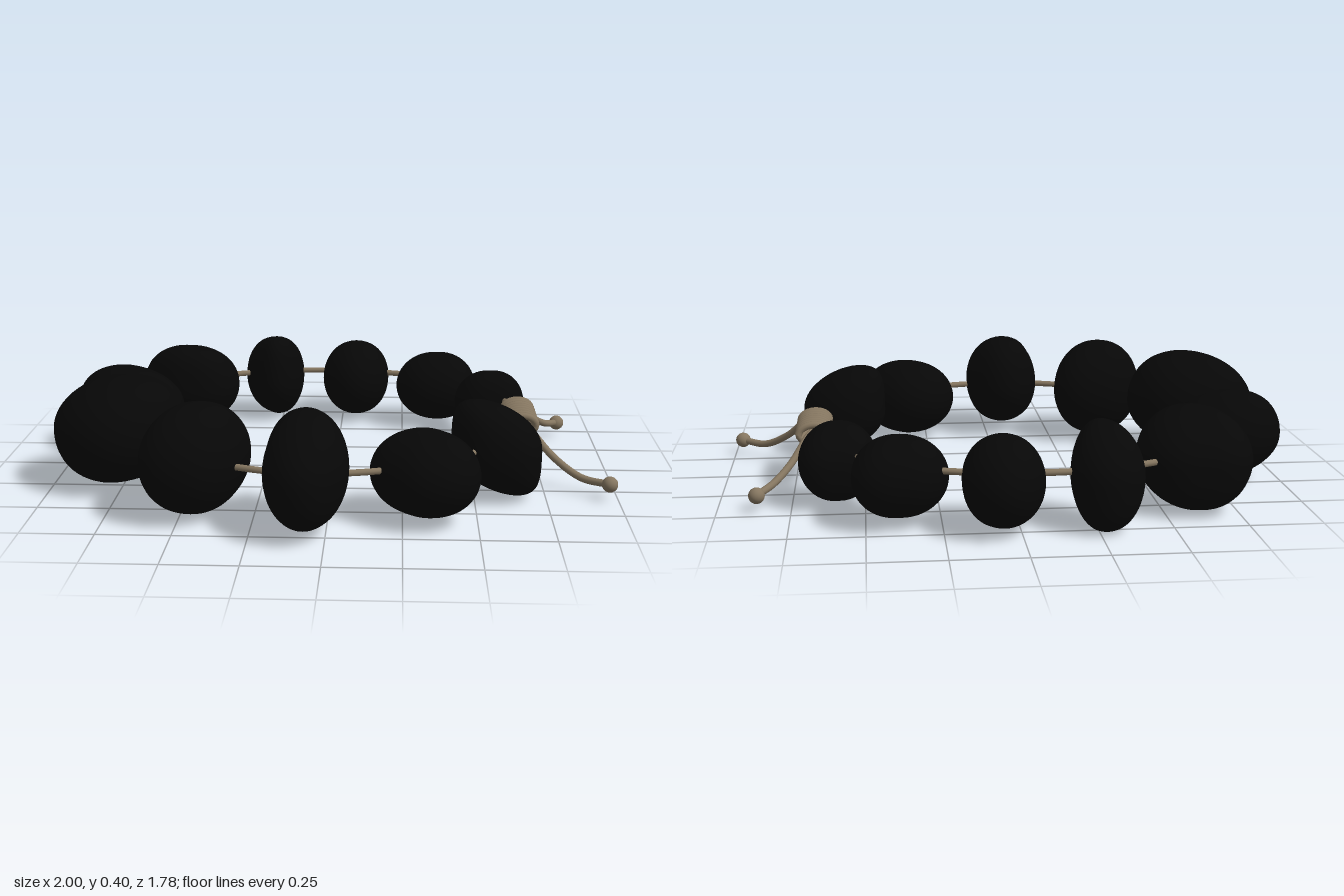
import * as THREE from 'three';
import { mergeVertices } from 'three/addons/utils/BufferGeometryUtils.js';

const stone = new THREE.MeshStandardMaterial({ color: 0x070707 });
stone.name = 'black stone';
const cordColour = new THREE.MeshStandardMaterial({ color: 0x857660 });
cordColour.name = 'tan cord';

// Each pebble: centre x, z, bottom and top height, and eight outline radii
// (in hundredths) every 45 degrees, starting at +x and turning toward +z.
// Some lean: leanX or leanZ is how far the crown is pushed sideways.
const pebbles = [
  { at: [-0.27, -0.70], y: [0.005, 0.35], leanZ: 0.05, r: [10.5, 12, 15, 12, 13, 15, 15.5, 13] },
  { at: [0.055, -0.715], y: [0.02, 0.32], r: [13.5, 15.5, 18, 15, 13.5, 15, 18, 16] },
  { at: [0.385, -0.61], y: [0.03, 0.30], r: [16, 17, 15.5, 15.5, 16, 15.5, 15, 17.5] },
  { at: [0.59, -0.38], y: [0.03, 0.29], leanZ: 0.03, r: [13.5, 14, 13, 14, 13.5, 13, 12, 14.5] },
  { at: [0.575, 0.305], y: [0.015, 0.35], leanX: -0.07, r: [15.5, 16.5, 14.5, 14, 15.5, 17, 15, 14] },
  { at: [0.325, 0.56], y: [0.025, 0.315], r: [18, 20, 18, 16, 18.5, 19, 18, 16] },
  { at: [-0.07, 0.665], y: [0.03, 0.395], leanZ: -0.05, r: [14.5, 17, 22.5, 17, 13, 17, 22, 17] },
  { at: [-0.445, 0.53], y: [0.015, 0.39], r: [17, 17, 20, 21.5, 17.5, 17, 19, 21.5] },
  { at: [-0.76, 0.22], y: [0.02, 0.40], leanX: 0.03, r: [24, 22.5, 23, 22.5, 23.5, 24.5, 23, 24] },
  { at: [-0.795, -0.195], y: [0.02, 0.335], leanX: -0.03, r: [20.5, 18, 16, 17.5, 20.5, 18, 16.5, 17] },
  { at: [-0.61, -0.53], y: [0.02, 0.35], leanZ: 0.06, r: [19.5, 20, 17, 16.5, 19, 20, 17, 18.5] },
];

// Smooth periodic radius at any angle (cubic through the eight samples)
function radiusAt(r, angle) {
  const n = r.length;
  const t = ((angle / (2 * Math.PI)) * n + n) % n;
  const i = Math.floor(t), f = t - i;
  const [a, b, c, d] = [-1, 0, 1, 2].map((k) => r[(i + k + n) % n]);
  return 0.01 * (b + 0.5 * f * (c - a + f * (2 * a - 5 * b + 4 * c - d + f * (3 * (b - c) + d - a))));
}

function pebbleGeometry({ y, r, leanX = 0, leanZ = 0 }) {
  const g = new THREE.SphereGeometry(1, 48, 32);
  g.deleteAttribute('uv');
  g.deleteAttribute('normal');
  const p = g.attributes.position;
  const half = (y[1] - y[0]) / 2;
  for (let i = 0; i < p.count; i++) {
    const h = p.getY(i);
    const angle = Math.atan2(p.getZ(i), p.getX(i));
    // slightly squarish section, crown and base leaning opposite ways
    const R = radiusAt(r, angle) * Math.pow(Math.max(0, 1 - h * h), 0.47);
    const shift = h * Math.abs(h);
    p.setXYZ(i, R * Math.cos(angle) + leanX * shift, half * h, R * Math.sin(angle) + leanZ * shift);
  }
  const merged = mergeVertices(g, 1e-5);
  merged.computeVertexNormals();
  return merged;
}

const v = (x, y, z) => new THREE.Vector3(x, y, z);

function tube(name, points, radius, segments, closed = false) {
  const curve = new THREE.CatmullRomCurve3(points, closed);
  const mesh = new THREE.Mesh(new THREE.TubeGeometry(curve, segments, radius, 10, closed), cordColour);
  mesh.name = name;
  return mesh;
}

export function createModel() {
  const group = new THREE.Group();
  group.name = 'pebbleBracelet';

  // Stones strung around the loop
  pebbles.forEach((b, i) => {
    const mesh = new THREE.Mesh(pebbleGeometry(b), stone);
    mesh.name = `pebble${i + 1}`;
    mesh.position.set(b.at[0], (b.y[0] + b.y[1]) / 2, b.at[1]);
    group.add(mesh);
  });

  // Cord through every stone and the knot
  const cordY = 0.195;
  const path = pebbles.map((b) => v(b.at[0], cordY, b.at[1]));
  path.splice(4, 0, v(0.655, cordY, -0.22), v(0.68, cordY, -0.04), v(0.655, cordY, 0.14));
  group.add(tube('cord', path, 0.0115, 240, true));

  // Coiled sliding knot
  const turns = 7.5, steps = 16, coil = [];
  for (let i = 0; i <= turns * steps; i++) {
    const a = (i / steps) * 2 * Math.PI;
    coil.push(v(0.68 + 0.053 * Math.cos(a), cordY + 0.035 * Math.sin(a), -0.16 + 0.24 * i / (turns * steps)));
  }
  group.add(tube('coiledKnot', coil, 0.0133, turns * 24));

  // Loose tails with end beads
  const tails = {
    back: [v(0.67, 0.2, -0.14), v(0.69, 0.205, -0.18), v(0.755, 0.125, -0.28), v(0.81, 0.08, -0.36), v(0.865, 0.06, -0.44)],
    front: [v(0.67, 0.2, 0.06), v(0.69, 0.205, 0.1), v(0.79, 0.11, 0.19), v(0.88, 0.06, 0.26), v(0.97, 0.06, 0.33)],
  };
  for (const [side, points] of Object.entries(tails)) {
    group.add(tube(`${side}Tail`, points, 0.013, 40));
    const bead = new THREE.Mesh(new THREE.SphereGeometry(0.028, 20, 14), cordColour);
    bead.name = `${side}TailBead`;
    bead.position.copy(points[points.length - 1]);
    group.add(bead);
  }
  return group;
}
